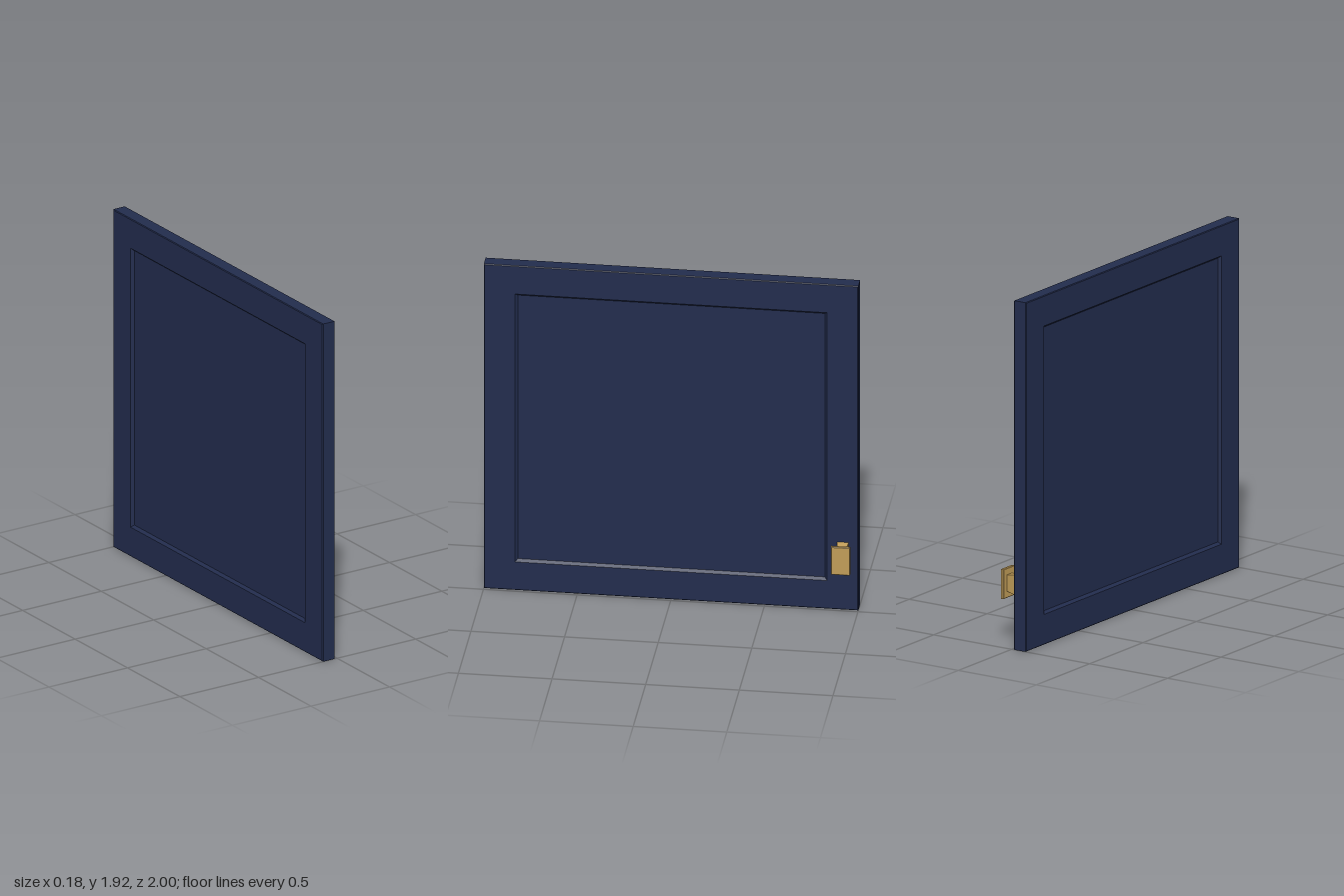
import * as THREE from 'three';

const navy = new THREE.MeshStandardMaterial({ color: 0x222c4d });
navy.name = 'navy paint';
const brass = new THREE.MeshStandardMaterial({ color: 0xc09c58 });
brass.name = 'brass';

// Closed solid lofted through rectangular rings [x, half height, half depth]
function loftRings(name, rings, y, z, material) {
  const loops = rings.map(([x, h, d]) => [
    [x, y - h, z + d], [x, y - h, z - d], [x, y + h, z - d], [x, y + h, z + d],
  ]);
  const pos = [];
  const quad = (a, b, c, d) => pos.push(...a, ...b, ...c, ...a, ...c, ...d);
  for (let i = 0; i < loops.length - 1; i++) {
    const a = loops[i], b = loops[i + 1];
    for (let j = 0; j < 4; j++) {
      const k = (j + 1) % 4;
      quad(a[j], a[k], b[k], b[j]);
    }
  }
  const first = loops[0], last = loops[loops.length - 1];
  quad(first[3], first[2], first[1], first[0]);
  quad(...last);
  const geometry = new THREE.BufferGeometry();
  geometry.setAttribute('position', new THREE.Float32BufferAttribute(pos, 3));
  geometry.computeVertexNormals();
  const mesh = new THREE.Mesh(geometry, material);
  mesh.name = name;
  return mesh;
}

export function createModel() {
  const group = new THREE.Group();
  group.name = 'cabinetDoor';

  // Door slab: raised frame and bevelled recessed panel on both faces
  const H = 0.96, D = 1, c = 0.004;
  const back = -0.092, front = -0.013, depth = 0.016;
  const rim = 0.167, inner = 0.18;
  group.add(loftRings('doorPanel', [
    [back + depth, H - inner, D - inner],
    [back, H - rim, D - rim],
    [back, H - c, D - c],
    [back + c, H, D],
    [front - c, H, D],
    [front, H - c, D - c],
    [front, H - rim, D - rim],
    [front - depth, H - inner, D - inner],
  ], H, 0, navy));

  // Knob: tapered stem and a chamfered grip plate
  const knob = new THREE.Group();
  knob.name = 'knob';
  const ky = 0.338, kz = -0.918;
  knob.add(loftRings('knobStem', [
    [front, 0.062, 0.031],
    [0.075, 0.045, 0.018],
  ], ky, kz, brass));
  knob.add(loftRings('knobPlate', [
    [0.073, 0.079, 0.048],
    [0.076, 0.082, 0.051],
    [0.089, 0.082, 0.051],
    [0.092, 0.079, 0.048],
  ], ky, kz, brass));
  group.add(knob);

  return group;
}
